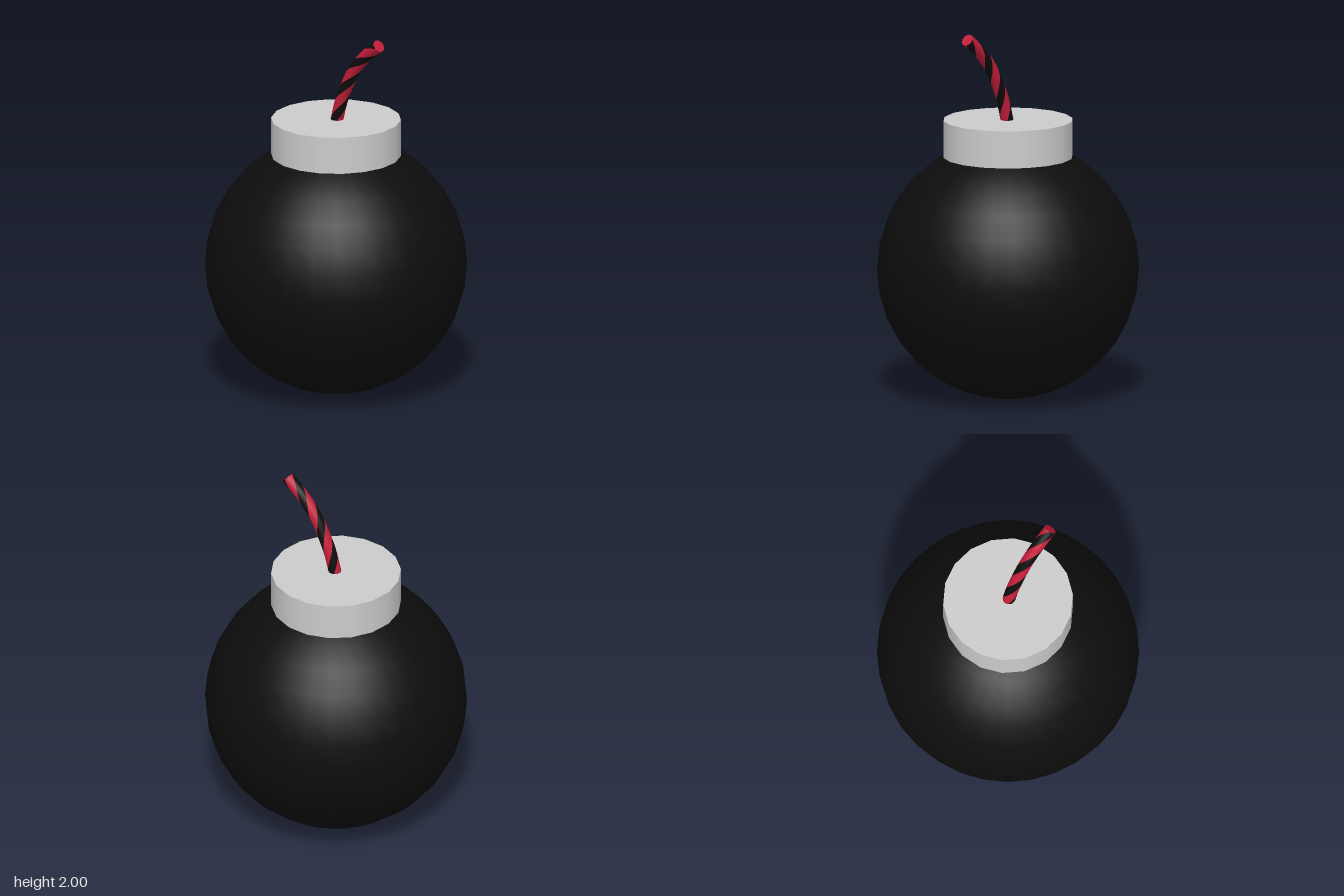
import * as THREE from 'three';

const black = new THREE.MeshStandardMaterial({ name: 'black', color: 0x0d0d0d });
const grey = new THREE.MeshStandardMaterial({ name: 'light grey', color: 0xcccccc });
const red = new THREE.MeshStandardMaterial({ name: 'red', color: 0xc41e3a });

const FUSE_RADIUS = 0.034;
const PITCH = 0.4; // fuse length per full turn of the twist

// Centre line of the fuse, starting just inside the collar
const path = new THREE.CatmullRomCurve3(
  [[0, 1.47], [0.008, 1.5], [0.04, 1.61], [0.08, 1.7], [0.13, 1.79], [0.21, 1.885], [0.317, 1.972]]
    .map(([x, y]) => new THREE.Vector3(x, y, 0)));

// One twisted strand: a slice of the fuse's surface that turns along the path
function strandGeometry(startAngle, width) {
  const rings = 40, sides = 5;
  const length = path.getLength();
  const positions = [], normals = [], index = [];
  for (let i = 0; i <= rings; i++) {
    const u = i / rings;
    const p = path.getPointAt(u);
    const t = path.getTangentAt(u);
    const twist = 2 * Math.PI * (u * length - 0.34) / PITCH;
    for (let j = 0; j <= sides; j++) {
      const a = startAngle + twist + width * (j / sides - 0.5);
      const n = new THREE.Vector3(-t.y * Math.cos(a), t.x * Math.cos(a), Math.sin(a));
      normals.push(n.x, n.y, n.z);
      positions.push(...p.clone().addScaledVector(n, FUSE_RADIUS).toArray());
      if (i < rings && j < sides) {
        const k = i * (sides + 1) + j, up = k + sides + 1;
        index.push(k, k + 1, up + 1, k, up + 1, up);
      }
    }
  }
  const geometry = new THREE.BufferGeometry();
  geometry.setAttribute('position', new THREE.Float32BufferAttribute(positions, 3));
  geometry.setAttribute('normal', new THREE.Float32BufferAttribute(normals, 3));
  geometry.setIndex(index);
  return geometry;
}

export function createModel() {
  const model = new THREE.Group();
  model.name = 'bomb';

  const add = (parent, name, geometry, material) => {
    const mesh = new THREE.Mesh(geometry, material);
    mesh.name = name;
    parent.add(mesh);
    return mesh;
  };

  // Round body
  add(model, 'body', new THREE.SphereGeometry(0.695, 32, 16), black).position.y = 0.697;

  // Collar on top of the body
  add(model, 'collar',
    new THREE.CylinderGeometry(0.345, 0.345, 0.2, 18, 1, false, Math.PI / 2), grey).position.y = 1.4;

  // Fuse: two black and two red strands, closed by a red tip
  const fuse = new THREE.Group();
  fuse.name = 'fuse';
  model.add(fuse);
  const blackWidth = Math.PI * 0.46;
  for (let i = 0; i < 2; i++) {
    add(fuse, 'blackStrand', strandGeometry(i * Math.PI, blackWidth), black);
    add(fuse, 'redStrand', strandGeometry((i + 0.5) * Math.PI, Math.PI - blackWidth), red);
  }
  const tip = add(fuse, 'fuseTip', new THREE.CircleGeometry(FUSE_RADIUS, 20), red);
  tip.position.copy(path.getPointAt(1));
  tip.quaternion.setFromUnitVectors(new THREE.Vector3(0, 0, 1), path.getTangentAt(1));

  return model;
}
